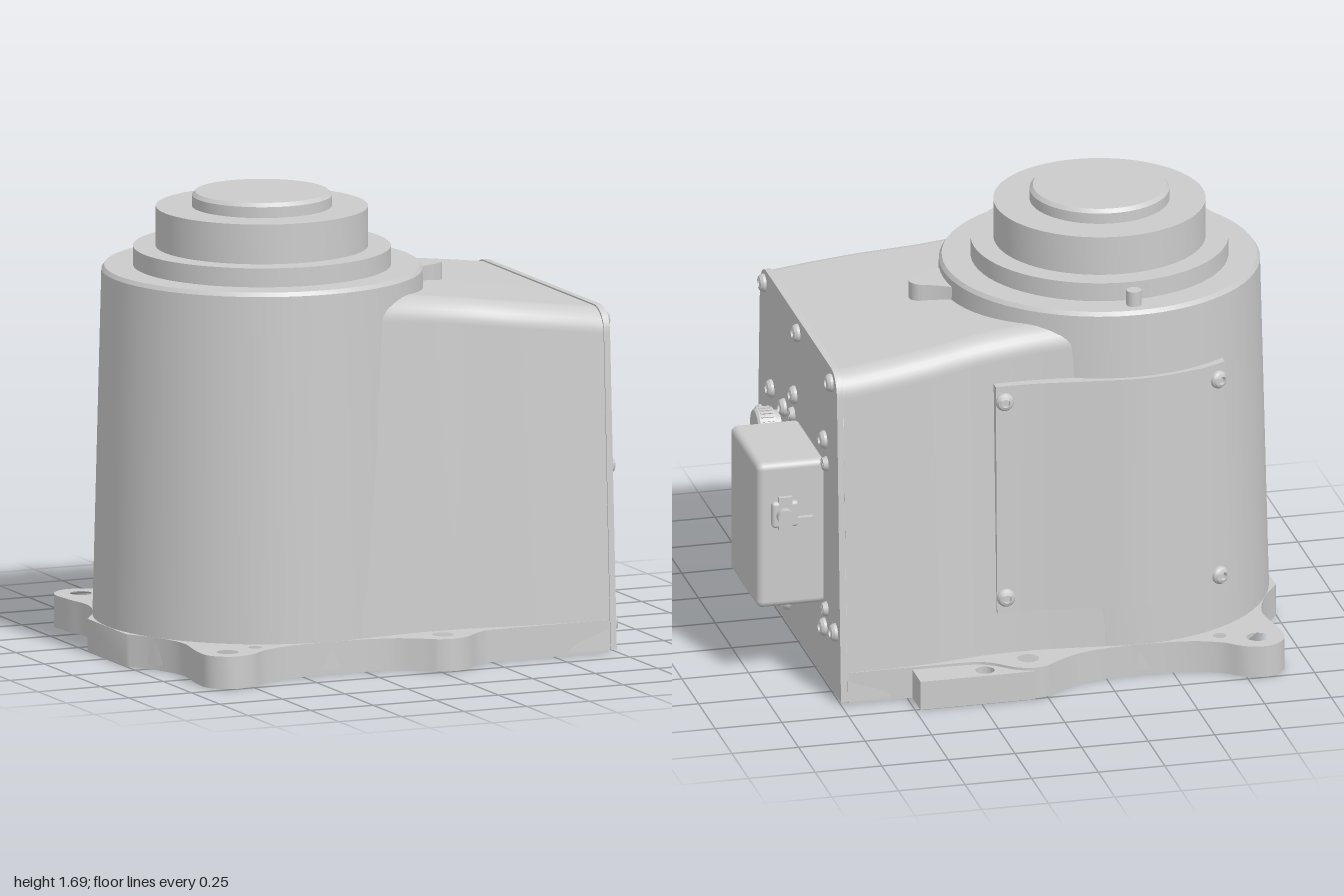
import * as THREE from 'three';
import { toCreasedNormals } from 'three/addons/utils/BufferGeometryUtils.js';
import { RoundedBoxGeometry } from 'three/addons/geometries/RoundedBoxGeometry.js';

const V2 = (x, y) => new THREE.Vector2(x, y);
const DRUM_X = -0.38;

export function createModel() {
  const root = new THREE.Group();
  const mat = new THREE.MeshStandardMaterial({ color: 0xcccccc });
  const add = (name, geo, x = 0, y = 0, z = 0, parent = root) => {
    const m = new THREE.Mesh(geo, mat);
    m.name = name;
    m.position.set(x, y, z);
    parent.add(m);
    return m;
  };
  // Plan outline given as (x, -z), extruded upwards
  const slab = (shape, h) => {
    const g = new THREE.ExtrudeGeometry(shape, { depth: h, bevelEnabled: false, curveSegments: 16 });
    return toCreasedNormals(g.rotateX(-Math.PI / 2), 0.6);
  };
  const hole = (shape, x, y, r) => shape.holes.push(new THREE.Path().absarc(x, y, r, 0, Math.PI * 2, true));
  const lathe = (pts, seg) => toCreasedNormals(new THREE.LatheGeometry(pts.map(p => V2(...p)), seg), 0.5);

  // Mounting flange with four ears
  const half = new THREE.SplineCurve([
    [-1, 0.17], [-0.93, 0.28], [-0.885, 0.42], [-0.905, 0.57], [-0.905, 0.68], [-0.84, 0.742], [-0.75, 0.73],
    [-0.66, 0.665], [-0.52, 0.625], [-0.3, 0.62], [-0.15, 0.645], [-0.05, 0.7], [0, 0.735], [0.06, 0.745],
    [0.12, 0.72], [0.2, 0.655], [0.3, 0.635], [0.72, 0.632],
  ].map(p => V2(...p))).getPoints(90);
  const mirrored = half.map(p => V2(p.x, -p.y)).reverse();
  const flange = new THREE.Shape([...half, ...mirrored]);
  for (const s of [1, -1]) {
    hole(flange, -0.81, s * 0.65, 0.04);
    hole(flange, 0.05, s * 0.65, 0.04);
    hole(flange, -0.68, s * 0.605, 0.025);
  }
  add('mountingFlange', slab(flange, 0.12));

  // Ledge on the back edge of the flange
  const ledge = new THREE.Shape([[0.05, 0.74], [0.1, 0.7], [0.1, 0.6], [0.48, 0.6], [0.48, 0.755], [0.05, 0.755]].map(p => V2(...p)));
  hole(ledge, 0.225, 0.7, 0.035);
  add('backLedge', slab(ledge, 0.11));

  // Tapered drum housing and the stepped rotary output
  add('drumHousing', lathe([[0, 0.02], [0.62, 0.02], [0.585, 1.4], [0.575, 1.415], [0, 1.415]], 72), DRUM_X);
  add('outputStage', lathe([
    [0.47, 1.41], [0.47, 1.485], [0.387, 1.485], [0.387, 1.632], [0.255, 1.632],
    [0.255, 1.672], [0.243, 1.686], [0, 1.686],
  ], 64), DRUM_X);
  add('indexPin', new THREE.CylinderGeometry(0.028, 0.028, 0.06, 16), DRUM_X, 1.442, -0.515);

  // Round-shouldered trapezoid section: pairs of (z, y)
  const section = (top, wide, bottom) => {
    const r = 0.09, w = wide - 0.06, pts = [[wide, bottom]];
    for (let i = 0; i <= 8; i++) {
      const a = i / 8 * Math.PI / 2;
      pts.push([w - r + r * Math.cos(a), top - r + r * Math.sin(a)]);
    }
    return [...pts, ...pts.map(([z, y]) => [-z, y]).reverse()];
  };

  // Rear housing lofted along x, waisted where it meets the drum
  const spine = new THREE.CatmullRomCurve3([
    [-0.25, 1.375, 0.61], [0, 1.348, 0.585], [0.2, 1.325, 0.59], [0.38, 1.303, 0.618], [0.55, 1.282, 0.632], [0.725, 1.26, 0.636],
  ].map(p => new THREE.Vector3(...p))).getPoints(24);
  const pos = [], idx = [];
  spine.forEach(p => section(p.y, p.z, 0.01).forEach(([z, y]) => pos.push(p.x, y, z)));
  const n = section(1, 1, 0).length;
  for (let i = 0; i < spine.length - 1; i++) {
    for (let j = 0; j < n - 1; j++) {
      const a = i * n + j, b = a + n;
      idx.push(a, b, a + 1, b, b + 1, a + 1);
    }
  }
  const loft = new THREE.BufferGeometry();
  loft.setAttribute('position', new THREE.Float32BufferAttribute(pos, 3));
  loft.setIndex(idx);
  loft.computeVertexNormals();
  add('rearHousing', loft);

  // Tongue-shaped boss next to the drum
  const boss = new THREE.Shape();
  boss.moveTo(0.1, -0.14);
  boss.lineTo(0.18, -0.11);
  boss.quadraticCurveTo(0.22, -0.075, 0.285, -0.058);
  boss.absarc(0.285, 0, 0.05, -1.3, 1.3, false);
  boss.quadraticCurveTo(0.22, 0.075, 0.18, 0.11);
  boss.lineTo(0.1, 0.14);
  add('topBoss', slab(boss, 0.125), 0, 1.25, 0);

  // End panel on the +x side
  const plate = new THREE.Shape(section(1.265, 0.638, 0.01).map(p => V2(...p)));
  const plateGeo = new THREE.ExtrudeGeometry(plate, { depth: 0.024, bevelEnabled: false });
  add('endPanel', toCreasedNormals(plateGeo.rotateY(Math.PI / 2), 0.5), 0.726);

  // Button-head screw with a socket, pointing along +x
  const screwGeo = lathe([[0.034, 0], [0.033, 0.01], [0.026, 0.02], [0.016, 0.024], [0.015, 0.01], [0, 0.01]], 20).rotateZ(-Math.PI / 2);
  [[0.51, 1.21], [0.005, 1.21], [-0.495, 1.21], [0.05, 0.95], [-0.4, 0.95], [0.395, 0.84], [0.205, 0.84],
    [0.555, 0.68], [0.395, 0.255], [0.205, 0.255], [0.05, 0.215], [-0.4, 0.215], [-0.56, 0.255], [0.58, 0.1],
    [0.155, 0.1]].forEach(([z, y]) => add('panelScrew', screwGeo, 0.75, y, z));

  // Cross-head screws around the connector
  const headGeo = new THREE.CylinderGeometry(0.022, 0.029, 0.02, 20).rotateZ(-Math.PI / 2);
  for (const z of [0.075, -0.425]) {
    for (const y of [0.865, 0.295]) {
      add('crossScrew', headGeo, 0.758, y, z);
      add('crossSlot', new THREE.BoxGeometry(0.004, 0.034, 0.007), 0.768, y, z);
      add('crossSlot', new THREE.BoxGeometry(0.004, 0.007, 0.034), 0.768, y, z);
    }
  }

  // Connector hood with a latch on each side
  add('connectorHood', new RoundedBoxGeometry(0.26, 0.566, 0.412, 3, 0.025), 0.87, 0.582, -0.175);
  for (const s of [1, -1]) {
    const latch = new THREE.Group();
    latch.name = 'latch';
    root.add(latch);
    latch.position.set(0.9, 0.67, -0.175 + s * 0.206);
    add('latchArm', new RoundedBoxGeometry(0.1, 0.1, 0.03, 2, 0.012), 0, 0, s * 0.012, latch);
    add('latchLever', new THREE.BoxGeometry(0.11, 0.035, 0.02), -0.05, -0.035, s * 0.012, latch);
    add('latchPivot', new THREE.CylinderGeometry(0.03, 0.03, 0.055, 18).rotateX(Math.PI / 2), 0.005, 0, s * 0.03, latch);
    add('latchGrip', new THREE.BoxGeometry(0.05, 0.13, 0.016), 0, 0.005, s * 0.022, latch);
  }

  // Knurled round socket
  add('roundSocket', lathe([[0.06, 0], [0.06, 0.02], [0.073, 0.022], [0.073, 0.082], [0.066, 0.09], [0, 0.09]], 32).rotateZ(-Math.PI / 2), 0.75, 0.73, 0.3);
  for (let i = 0; i < 28; i++) {
    const a = i / 28 * Math.PI * 2;
    const rib = add('knurlRib', new THREE.BoxGeometry(0.045, 0.006, 0.007), 0.802, 0.73 + 0.073 * Math.sin(a), 0.3 + 0.073 * Math.cos(a));
    rib.rotation.x = -a;
  }

  // Hexagonal plugs
  const hexGeo = new THREE.CylinderGeometry(0.083, 0.083, 0.08, 6).toNonIndexed();
  hexGeo.rotateZ(-Math.PI / 2).computeVertexNormals();
  for (const y of [0.53, 0.345]) add('hexPlug', hexGeo, 0.79, y, 0.3);

  // Curved service cover on the back, wrapped around the drum and waist
  const wrap = new THREE.SplineCurve([
    [-0.72, -0.522], [-0.6, -0.575], [-0.4, -0.61], [-0.2, -0.592], [0, -0.567], [0.15, -0.562],
  ].map(p => V2(...p)));
  const wrapAt = t => wrap.getPoint(Math.min(1, Math.max(0, t)));
  const taper = y => 0.026 * (1.16 - y);
  const coverGeo = new THREE.BoxGeometry(1, 0.88, 0.06, 30, 1, 1);
  const cp = coverGeo.attributes.position;
  for (let i = 0; i < cp.count; i++) {
    const p = wrapAt(cp.getX(i) + 0.5), y = cp.getY(i) + 0.72;
    cp.setXYZ(i, p.x, y, p.y - taper(y) + cp.getZ(i) + 0.03);
  }
  add('serviceCover', toCreasedNormals(coverGeo, 0.6));
  for (const t of [0.07, 0.94]) {
    for (const y of [0.34, 1.1]) {
      const p = wrapAt(t), d = wrap.getTangent(t);
      const screw = add('coverScrew', screwGeo, p.x, y, p.y - taper(y));
      screw.rotation.y = Math.atan2(d.x, d.y);
    }
  }
  return root;
}
